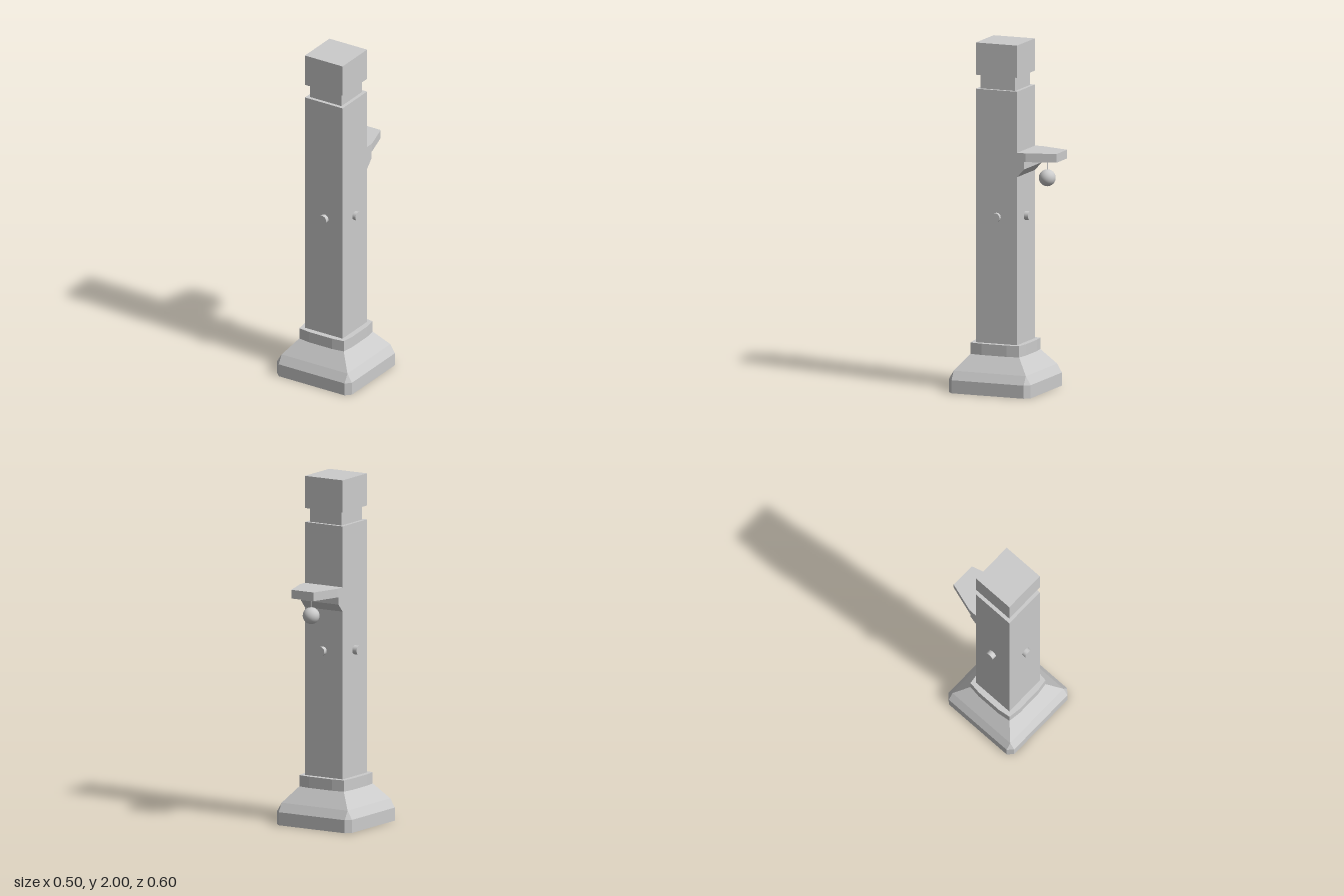
import * as THREE from 'three';

const CZ = 0.048; // depth of the post axis
const HALF = 0.127; // half width of the post

export function createModel() {
  const model = new THREE.Group();
  const solid = new THREE.MeshStandardMaterial({ color: 0xcccccc, flatShading: true });
  const open = new THREE.MeshStandardMaterial({ color: 0xcccccc, flatShading: true, side: THREE.DoubleSide });
  const smooth = new THREE.MeshStandardMaterial({ color: 0xcccccc });

  function add(name, geometry, material, x = 0, y = 0, z = CZ) {
    const mesh = new THREE.Mesh(geometry, material);
    mesh.name = name;
    mesh.position.set(x, y, z);
    model.add(mesh);
    return mesh;
  }
  const poly = (pts) => pts.map(([x, y]) => new THREE.Vector2(x, y));
  const block = (half, y0, y1) => new THREE.BoxGeometry(half * 2, y1 - y0, half * 2).translate(0, (y0 + y1) / 2, 0);

  // square ring with cut corners: s is the half width, c the half length of each flat side
  const ring = (s, c, y) => [[s, c], [c, s], [-c, s], [-s, c], [-s, -c], [-c, -s], [c, -s], [s, -c]]
    .map(([x, z]) => [x, y, z]);

  // hollow plinth, open underneath
  const rings = [ring(0.252, 0.222, 0), ring(0.252, 0.222, 0.075), ring(0.222, 0.222, 0.125), ring(0.15, 0.15, 0.215)];
  const pos = [];
  for (let r = 0; r < rings.length - 1; r++) {
    for (let i = 0; i < 8; i++) {
      const j = (i + 1) % 8;
      const a = rings[r][i], b = rings[r][j], c = rings[r + 1][j], d = rings[r + 1][i];
      if (r < 2 || i % 2 === 1) {
        pos.push(...a, ...d, ...b);
        if (r !== 1 || i % 2 === 1) pos.push(...b, ...d, ...c);
      }
    }
  }
  const plinth = new THREE.BufferGeometry();
  plinth.setAttribute('position', new THREE.Float32BufferAttribute(pos, 3));
  plinth.computeVertexNormals();
  add('plinth', plinth, open);

  // collar with slightly bowed sides, fitted around the post
  const outline = [];
  for (let k = 0; k < 4; k++) {
    for (const [x, y] of [[0.16, -0.077], [0.16, 0.077], [0.15, 0.15]]) {
      outline.push(new THREE.Vector2(x, y).rotateAround(new THREE.Vector2(), k * Math.PI / 2));
    }
  }
  const collar = new THREE.Shape(outline);
  collar.holes.push(new THREE.Path(poly([[-HALF, -HALF], [-HALF, HALF], [HALF, HALF], [HALF, -HALF]])));
  add('collar', new THREE.ExtrudeGeometry(collar, { depth: 0.065, bevelEnabled: false }).rotateX(-Math.PI / 2), solid, 0, 0.215);

  // post, open at the foot, with neck and cap
  const tube = new THREE.CylinderGeometry(HALF * Math.SQRT2, HALF * Math.SQRT2, 1.52, 4, 1, true).rotateY(Math.PI / 4);
  add('post', tube, open, 0, 0.975);
  const ledge = new THREE.PlaneGeometry(HALF * 2, HALF * 2).rotateX(-Math.PI / 2);
  add('postTop', ledge, open, 0, 1.735);
  add('neck', block(0.106, 1.735, 1.815), solid);
  add('cap', block(HALF, 1.815, 2), solid);

  // rods passing through the post, their ends showing as pegs
  const rod = new THREE.CylinderGeometry(0.026, 0.026, 0.304, 24);
  const flatEnds = rod.clone();
  add('crossRod', rod.rotateZ(Math.PI / 2), smooth, -0.004, 1.006, 0.047);
  add('longRod', flatEnds.rotateX(Math.PI / 2), smooth, 0.006, 1.006, 0.047);

  // tapered shelf on the back
  const shelf = new THREE.Shape(poly([[-HALF, 0.08], [HALF, 0.08], [HALF, 0.13], [0.075, 0.3], [-0.075, 0.3], [-HALF, 0.13]]));
  add('shelf', new THREE.ExtrudeGeometry(shelf, { depth: 0.05, bevelEnabled: false }).rotateX(-Math.PI / 2), solid, 0, 1.335, 0);

  // bracket under the shelf, profile across depth and height
  const bracket = new THREE.Shape(poly([[0.079, 1.245], [0.122, 1.292], [0.122, 1.335], [0.079, 1.335]]));
  add('bracket', new THREE.ExtrudeGeometry(bracket, { depth: HALF * 2, bevelEnabled: false })
    .translate(0, 0, -HALF).rotateY(Math.PI / 2), solid, 0, 0, 0);

  // hanging ball
  add('ballCord', new THREE.CylinderGeometry(0.003, 0.003, 0.07, 8), smooth, 0, 1.302, -0.21);
  add('ball', new THREE.SphereGeometry(0.048, 24, 16), smooth, 0, 1.23, -0.21);

  return model;
}
